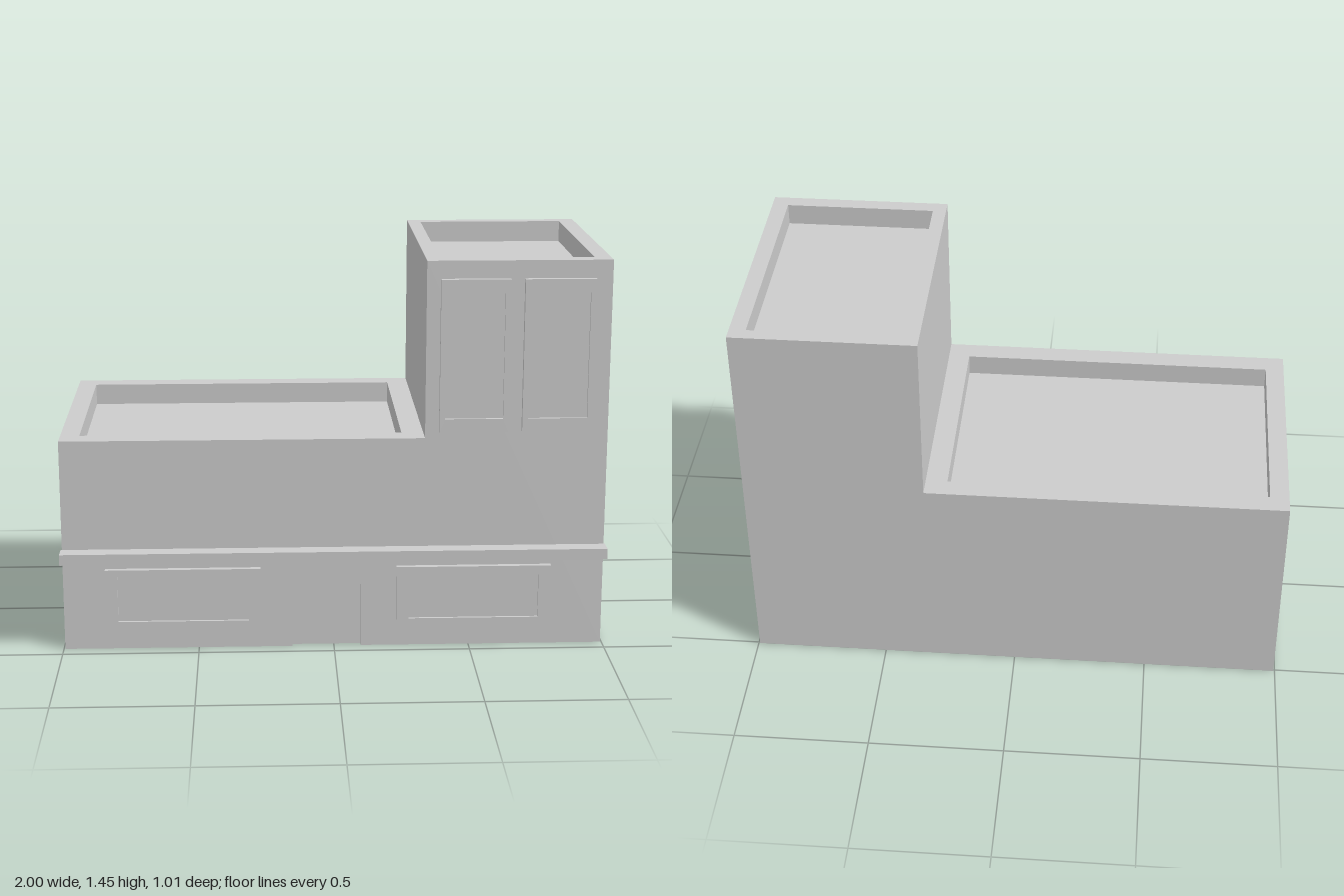
import * as THREE from 'three';

const material = new THREE.MeshStandardMaterial({ color: 0xcccccc, flatShading: true });

// Main dimensions
const X = 0.995, BACK = -0.505, FRONT = 0.445;
const LOW = 0.795, TALL = 1.445, STEP = 0.33;
const DOOR = { x0: -0.155, x1: 0.1, top: 0.33, depth: 0.02 };

function addMesh(parent, name, geometry) {
  const mesh = new THREE.Mesh(geometry, material);
  mesh.name = name;
  parent.add(mesh);
  return mesh;
}

function outline(points) {
  return new THREE.Shape(points.map(([x, y]) => new THREE.Vector2(x, y)));
}

const rectPoints = (x0, y0, x1, y1) => [[x0, y0], [x1, y0], [x1, y1], [x0, y1]];

// Rectangle with a rectangular opening
function ring(outer, inner) {
  const shape = outline(rectPoints(...outer));
  shape.holes.push(outline(rectPoints(...inner).reverse()));
  return shape;
}

// Sunken pocket opening towards +z: a floor and inward-facing walls
function recess(name, x0, y0, x1, y1, depth, openBottom = false) {
  const group = new THREE.Group();
  group.name = name;
  const w = x1 - x0, h = y1 - y0, cx = (x0 + x1) / 2, cy = (y0 + y1) / 2;
  addMesh(group, name + 'Floor', new THREE.PlaneGeometry(w, h)).position.set(cx, cy, -depth);
  for (const s of [-1, 1]) {
    const side = addMesh(group, name + 'Side', new THREE.PlaneGeometry(depth, h));
    side.rotation.y = -s * Math.PI / 2;
    side.position.set(s < 0 ? x0 : x1, cy, -depth / 2);
    if (s < 0 && openBottom) continue;
    const end = addMesh(group, name + 'End', new THREE.PlaneGeometry(w, depth));
    end.rotation.x = s * Math.PI / 2;
    end.position.set(cx, s < 0 ? y0 : y1, -depth / 2);
  }
  return group;
}

// Upright wall facing along x
function sideWall(parent, name, x, y0, y1, facing) {
  const wall = addMesh(parent, name, new THREE.PlaneGeometry(FRONT - BACK, y1 - y0));
  wall.rotation.y = facing * Math.PI / 2;
  wall.position.set(x, (y0 + y1) / 2, (BACK + FRONT) / 2);
}

// Flat roof rim around a sunken deck, in x and z ranges
function roof(name, y, x0, x1, hole) {
  const group = new THREE.Group();
  group.name = name;
  const [hx0, hz0, hx1, hz1] = hole;
  const inner = [hx0, -hz1, hx1, -hz0];
  addMesh(group, name + 'Rim', new THREE.ShapeGeometry(ring([x0, -FRONT, x1, -BACK], inner)));
  group.add(recess(name + 'Deck', ...inner, 0.08));
  group.rotation.x = -Math.PI / 2;
  group.position.y = y;
  return group;
}

// Raised window frame with a set-back pane
function framedWindow(name, x0, y0, x1, y1, mx, my) {
  const group = new THREE.Group();
  group.name = name;
  const shape = ring([x0, y0, x1, y1], [x0 + mx, y0 + my, x1 - mx, y1 - my]);
  addMesh(group, 'windowFrame',
    new THREE.ExtrudeGeometry(shape, { depth: 0.02, bevelEnabled: false }));
  addMesh(group, 'windowPane', new THREE.PlaneGeometry(x1 - x0 - 2 * mx, y1 - y0 - 2 * my))
    .position.set((x0 + x1) / 2, (y0 + y1) / 2, 0.01);
  group.position.z = FRONT;
  return group;
}

export function createModel() {
  const model = new THREE.Group();
  model.name = 'shopBuilding';

  // Front and back walls with the stepped outline
  const upper = [[X, 0], [X, TALL], [STEP, TALL], [STEP, LOW], [-X, LOW], [-X, 0]];
  const { x0, x1, top, depth } = DOOR;
  const doorway = [[x0, 0], [x0, top], [x1, top], [x1, 0]];
  addMesh(model, 'frontWall', new THREE.ShapeGeometry(outline([...upper, ...doorway])))
    .position.z = FRONT;
  const back = addMesh(model, 'backWall',
    new THREE.ShapeGeometry(outline(upper.map(([x, y]) => [-x, y]))));
  back.rotation.y = Math.PI;
  back.position.z = BACK;

  // Side walls and the tower wall above the low roof
  sideWall(model, 'leftWall', X, 0, TALL, 1);
  sideWall(model, 'rightWall', -X, 0, LOW, -1);
  sideWall(model, 'towerWall', STEP, LOW, TALL, -1);

  // Underside, notched at the doorway
  const inside = FRONT - depth;
  const base = addMesh(model, 'underside', new THREE.ShapeGeometry(outline([
    [-X, BACK], [X, BACK], [X, FRONT], [x1, FRONT], [x1, inside],
    [x0, inside], [x0, FRONT], [-X, FRONT],
  ])));
  base.rotation.x = Math.PI / 2;

  // Recessed door
  const door = recess('door', x0, 0, x1, top, depth, true);
  door.position.z = FRONT;
  model.add(door);

  // Roofs
  model.add(roof('lowRoof', LOW, -X, STEP, [-0.925, -0.43, 0.25, 0.365]));
  model.add(roof('towerRoof', TALL, STEP, X, [0.38, -0.455, 0.935, 0.39]));

  // Ledge across the front
  addMesh(model, 'ledge', new THREE.BoxGeometry(2, 0.04, 0.06)).position.set(0, 0.365, FRONT + 0.03);

  // Shop windows and tower windows
  model.add(framedWindow('rightShopWindow', -0.84, 0.085, -0.27, 0.31, 0.045, 0.025));
  model.add(framedWindow('leftShopWindow', 0.23, 0.085, 0.8, 0.31, 0.045, 0.025));
  model.add(framedWindow('innerTowerWindow', 0.38, 0.82, 0.63, 1.38, 0.02, 0.05));
  model.add(framedWindow('outerTowerWindow', 0.68, 0.82, 0.935, 1.38, 0.02, 0.05));

  return model;
}
